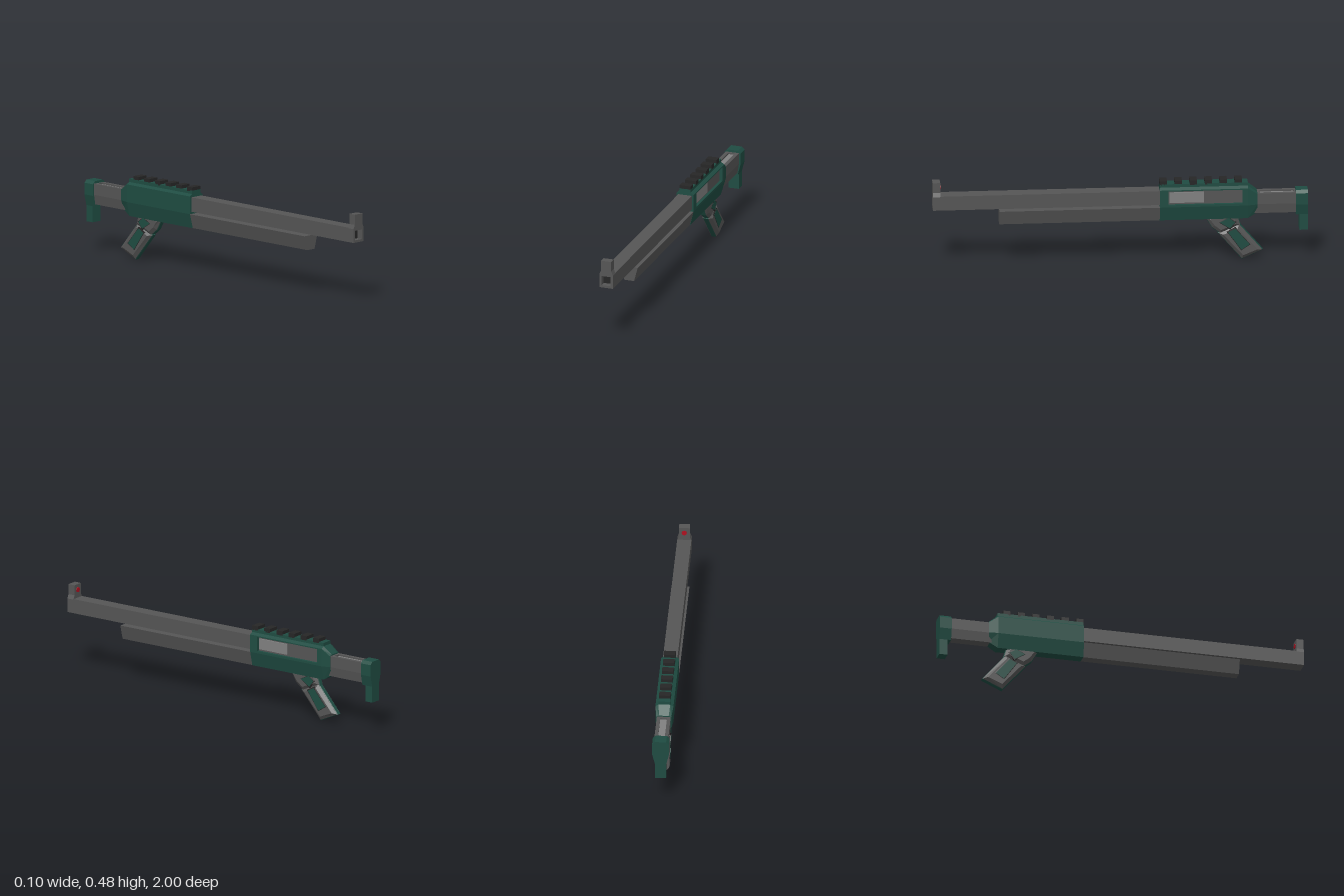
import * as THREE from 'three';

const material = (color) => new THREE.MeshStandardMaterial({ color, flatShading: true });

export function createModel() {
  const model = new THREE.Group();
  const grey = material(0x555555);
  const pale = material(0x808080);
  const dark = material(0x262626);
  const green = material(0x1f4c42);
  const red = material(0xb01020);

  const add = (name, geometry, mat) => {
    const mesh = new THREE.Mesh(geometry, mat);
    mesh.name = name;
    model.add(mesh);
    return mesh;
  };
  const outline = (pts) => new THREE.Shape(pts.map(([a, b]) => new THREE.Vector2(a, b)));
  // right half of a section, listed top to bottom, mirrored to the left
  const mirrored = (half) => [...half, ...half.map(([x, y]) => [-x, y]).reverse()];

  // box given by its limits
  const block = (name, [x0, x1], [y0, y1], [z0, z1], mat) =>
    add(name, new THREE.BoxGeometry(x1 - x0, y1 - y0, z1 - z0), mat)
      .position.set((x0 + x1) / 2, (y0 + y1) / 2, (z0 + z1) / 2);

  // section in x,y swept from z0 to z1
  const prism = (name, pts, z0, z1, mat, hole) => {
    const shape = outline(pts);
    if (hole) shape.holes.push(outline(hole));
    const geo = new THREE.ExtrudeGeometry(shape, { depth: z1 - z0, bevelEnabled: false });
    geo.translate(0, 0, z0);
    return add(name, geo, mat);
  };

  // side outline in z,y given a thickness across x, with chamfered rims
  const slab = (name, pts, half, thick, size, offset, mat) => {
    const geo = new THREE.ExtrudeGeometry(outline(pts), {
      depth: 2 * (half - thick), bevelEnabled: thick > 0, bevelSegments: 1,
      bevelThickness: thick, bevelSize: size, bevelOffset: offset,
    });
    geo.translate(0, 0, -(half - thick));
    geo.rotateY(-Math.PI / 2);
    return add(name, geo, mat);
  };

  // Barrel, muzzle block with square bore, and front sight
  block('barrel', [-0.038, 0.038], [0.325, 0.403], [-0.22, 0.962], grey);
  prism('muzzleAndFrontSight',
    mirrored([[0.029, 0.477], [0.029, 0.422], [0.038, 0.4], [0.038, 0.325]]), 0.96, 1, grey,
    [[-0.026, 0.338], [0.026, 0.338], [0.026, 0.39], [-0.026, 0.39]]);
  block('boreFloor', [-0.027, 0.027], [0.337, 0.391], [0.955, 0.966], dark);
  const dot = new THREE.CylinderGeometry(0.014, 0.014, 0.006, 8).rotateX(Math.PI / 2);
  add('sightDot', dot, red).position.set(0, 0.447, 0.959);

  // Fore-end under the barrel
  prism('foreEnd', mirrored([[0.048, 0.313], [0.027, 0.235]]), -0.22, 0.645, grey);

  // Receiver: solid front, windowed middle, solid back, tapered tail
  const section = mirrored([[0.031, 0.42], [0.048, 0.409], [0.048, 0.313], [0.029, 0.235]]);
  const notch = [[0.048, 0.403], [0.03, 0.403], [0.03, 0.325], [0.048, 0.325]];
  const windowed = [...section.slice(0, 2), ...notch, ...section.slice(2)];
  prism('receiverFront', section, -0.255, -0.21, green);
  prism('receiverMiddle', windowed, -0.65, -0.255, green);
  prism('receiverBack', section, -0.68, -0.65, green);
  const tail = prism('receiverTail', section, -0.73, -0.68, green);
  const p = tail.geometry.attributes.position;
  for (let i = 0; i < p.count; i++) {
    if (p.getZ(i) < -0.7) p.setXY(i, p.getX(i) * 0.84, 0.318 + (p.getY(i) - 0.318) * 0.62);
  }
  tail.geometry.computeVertexNormals();

  // Ejection window lining and bolt, on the left side only
  block('windowFloor', [0.027, 0.032], [0.325, 0.403], [-0.65, -0.255], grey);
  block('bolt', [0.03, 0.04], [0.335, 0.393], [-0.445, -0.262], pale);

  // Top rail with six teeth
  block('railBase', [-0.031, 0.031], [0.415, 0.438], [-0.68, -0.21], green);
  for (let i = 0; i < 6; i++) {
    const z = -0.21 - i * 0.08;
    block('railTooth', [-0.031, 0.031], [0.432, 0.456], [z - 0.039, z], dark);
  }

  // Stock tube with a groove along its top
  const tube = mirrored([[0.037, 0.375], [0.037, 0.315], [0.028, 0.262]]);
  const groove = [[-0.018, 0.375], [-0.018, 0.365], [0.018, 0.365], [0.018, 0.375]];
  prism('stockTubeFront', tube, -0.745, -0.7, grey);
  prism('stockTubeMiddle', [...tube, ...groove], -0.925, -0.745, grey);
  prism('stockTubeBack', tube, -0.95, -0.925, grey);
  block('grooveFloor', [-0.018, 0.018], [0.36, 0.3665], [-0.925, -0.745], pale);

  // Butt plate: wide head, narrow toe
  prism('buttPlate',
    mirrored([[0.03, 0.388], [0.045, 0.373], [0.045, 0.31], [0.03, 0.25], [0.03, 0.162]]),
    -1, -0.955, green);
  prism('buttPlateHead',
    mirrored([[0.03, 0.388], [0.045, 0.373], [0.045, 0.31], [0.03, 0.25]]), -0.957, -0.936, green);

  // Grip: two chamfered segments, each with a green rim and side panels
  const segments = [
    {
      body: [[-0.455, 0.245], [-0.62, 0.262], [-0.64, 0.195], [-0.535, 0.15], [-0.49, 0.185]],
      panel: [[-0.53, 0.214], [-0.578, 0.238], [-0.612, 0.214], [-0.585, 0.18]],
    },
    {
      body: [[-0.525, 0.15], [-0.65, 0.004], [-0.757, 0.052], [-0.632, 0.2]],
      panel: [[-0.575, 0.157], [-0.613, 0.177], [-0.69, 0.087], [-0.645, 0.058]],
    },
  ];
  for (const { body, panel } of segments) {
    slab('gripBody', body, 0.029, 0.014, 0.018, -0.018, grey);
    slab('gripRim', body, 0.014, 0.003, 0.003, 0, green);
    slab('gripPanelFrame', panel, 0.0295, 0.001, 0.006, 0, dark);
    slab('gripPanel', panel, 0.0305, 0, 0, 0, green);
  }
  return model;
}
